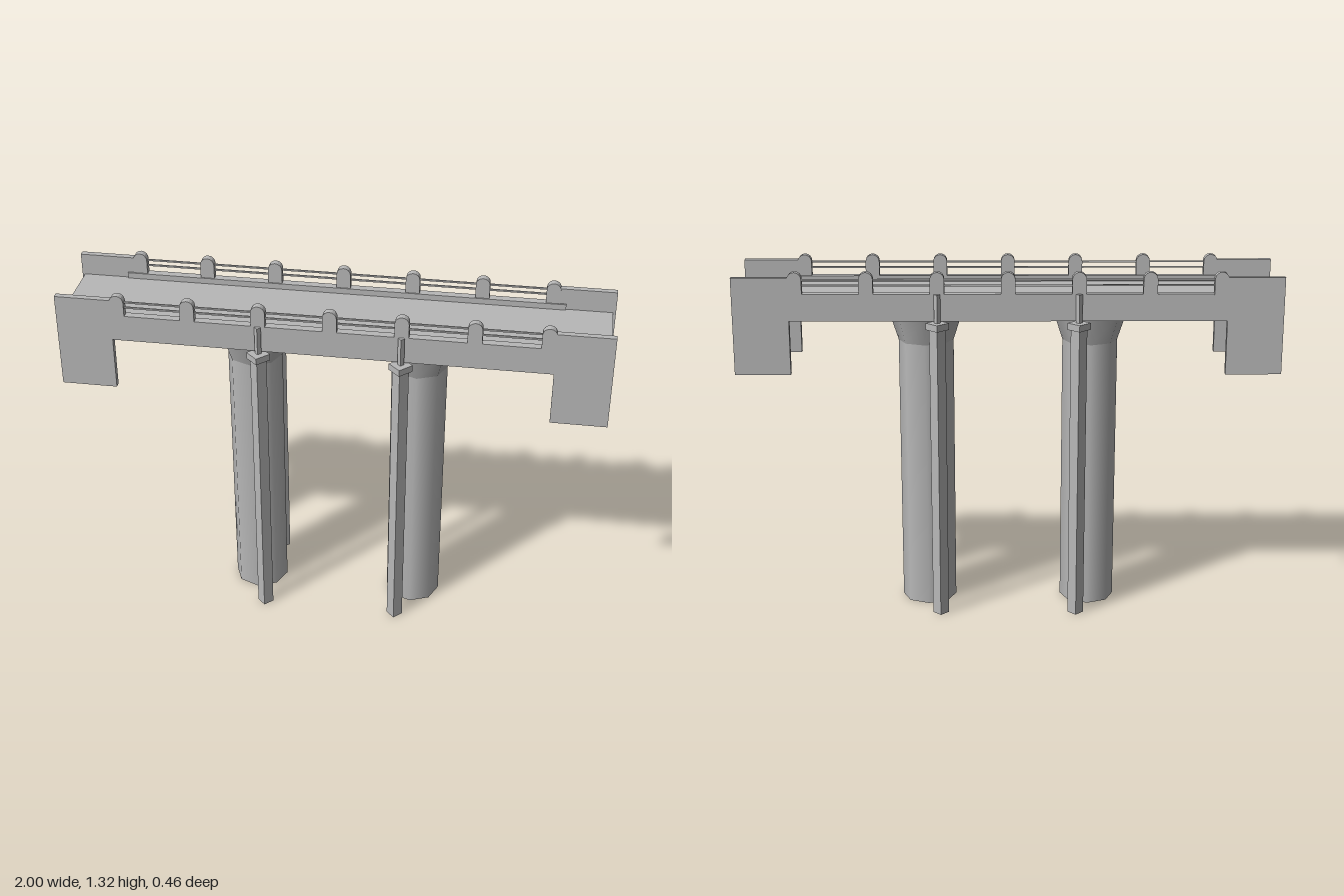
import * as THREE from 'three';

export function createModel() {
  const root = new THREE.Group();
  root.name = 'bridge';
  const concrete = new THREE.MeshStandardMaterial({ color: 0xb8b8b8 });
  concrete.name = 'concrete';
  const concreteShell = new THREE.MeshStandardMaterial({ color: 0xb8b8b8, side: THREE.DoubleSide });
  concreteShell.name = 'concrete';

  const add = (parent, name, geometry, x, y, z, material = concrete) => {
    const mesh = new THREE.Mesh(geometry, material);
    mesh.name = name;
    mesh.position.set(x, y, z);
    parent.add(mesh);
    return mesh;
  };
  const box = (w, h, d) => new THREE.BoxGeometry(w, h, d);

  // Square bar set cornerwise, measured from centre to corner
  const diamondBar = (parent, name, half, y0, y1, x, z) => {
    const side = half * Math.SQRT2;
    add(parent, name, box(side, y1 - y0, side), x, (y0 + y1) / 2, z).rotation.y = Math.PI / 4;
  };

  // Road slab
  add(root, 'deck', box(1.98, 0.018, 0.316), 0, 1.209, 0);

  // Side wall outline with deeper end panels
  const outline = new THREE.Shape([
    [-1, 0.94], [-0.795, 0.94], [-0.795, 1.14], [0.795, 1.14], [0.795, 0.94], [1, 0.94],
    [1, 1.3], [0.795, 1.3], [0.795, 1.24], [-0.795, 1.24], [-0.795, 1.3], [-1, 1.3],
  ].map(([x, y]) => new THREE.Vector2(x, y)));
  const wallGeo = new THREE.ExtrudeGeometry(outline, { depth: 0.023, bevelEnabled: false });
  wallGeo.translate(0, 0, -0.0115);

  // Railing post with rounded head
  const postShape = new THREE.Shape();
  postShape.moveTo(-0.026, 1.23);
  postShape.lineTo(0.026, 1.23);
  postShape.lineTo(0.026, 1.294);
  postShape.absarc(0, 1.294, 0.026, 0, Math.PI, false);
  postShape.closePath();
  const postGeo = new THREE.ExtrudeGeometry(postShape, { depth: 0.027, bevelEnabled: false, curveSegments: 4 });
  postGeo.translate(0, 0, -0.0135);

  for (const s of [-1, 1]) {
    const side = new THREE.Group();
    side.name = s > 0 ? 'frontSide' : 'backSide';
    root.add(side);

    add(side, 'sideWall', wallGeo, 0, 0, s * 0.169);
    add(side, 'kerb', box(1.64, 0.05, 0.01), 0, 1.215, s * 0.155);
    for (let i = -3; i <= 3; i++) add(side, 'railPost', postGeo, i * 0.257, 0, s * 0.168);
    for (const y of [1.27, 1.291]) add(side, 'rail', box(1.6, 0.006, 0.006), 0, y, s * 0.168);

    // Slim outer supports
    for (const x of [-0.257, 0.257]) {
      diamondBar(side, 'slimPole', 0.03, 0, 1.11, x, s * 0.187);
      diamondBar(side, 'poleCap', 0.043, 1.11, 1.135, x, s * 0.187);
      diamondBar(side, 'poleNeck', 0.012, 1.135, 1.24, x, s * 0.186);
    }
  }

  // Hollow eight-sided piers with flared heads
  for (const x of [-0.307, 0.307]) {
    add(root, 'pier', new THREE.CylinderGeometry(0.103, 0.103, 1.03, 8, 1, true), x, 0.515, 0, concreteShell);
    add(root, 'pierHead', new THREE.CylinderGeometry(0.138, 0.103, 0.107, 8, 1, true), x, 1.0835, 0, concreteShell);
  }
  return root;
}
